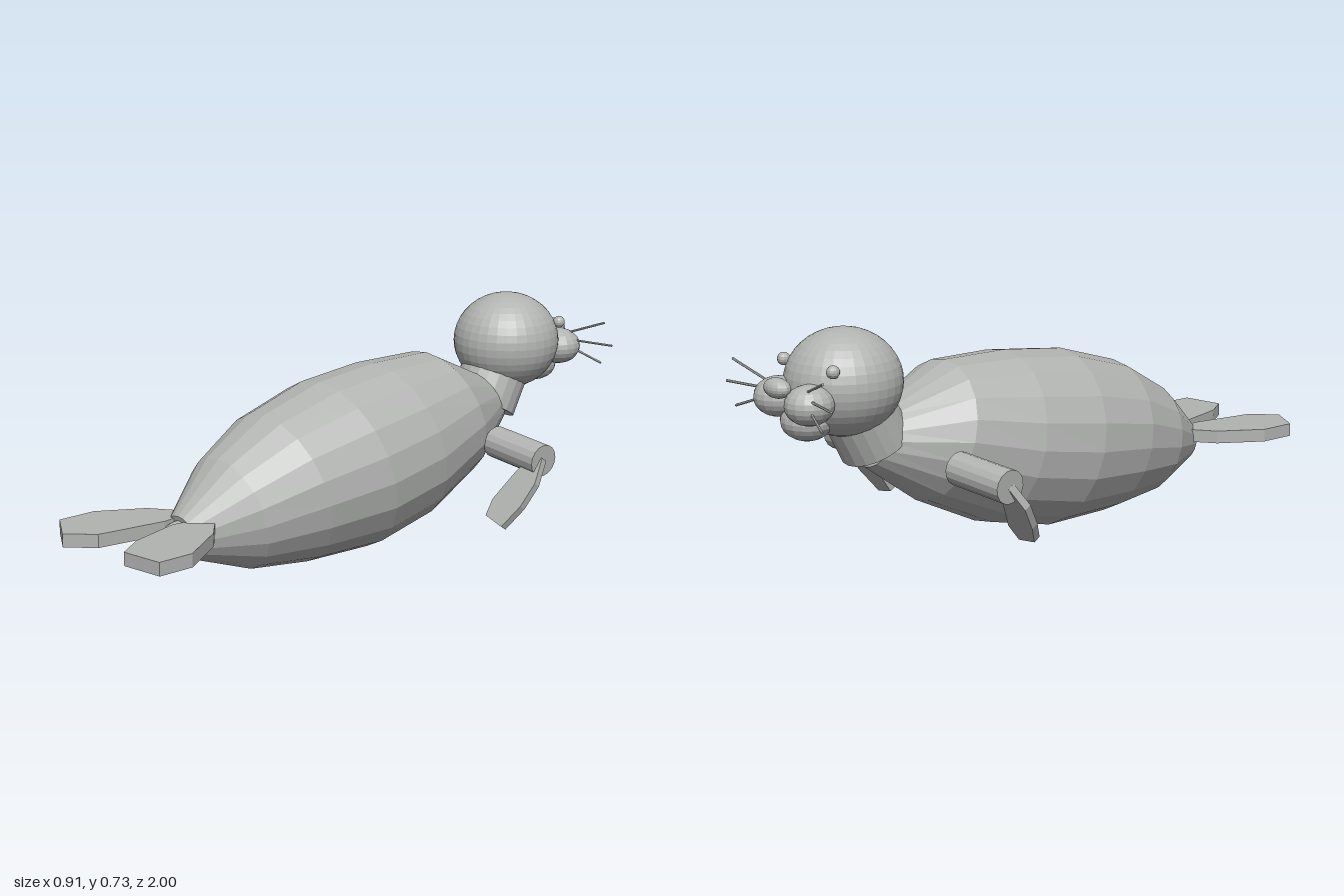
import * as THREE from 'three';

const fur = new THREE.MeshStandardMaterial({ color: 0xb2b4b2, flatShading: true });
fur.name = 'grey';

export function createModel() {
  const model = new THREE.Group();
  model.name = 'seal';

  const add = (name, geometry, x = 0, y = 0, z = 0) => {
    const mesh = new THREE.Mesh(geometry, fur);
    mesh.name = name;
    mesh.position.set(x, y, z);
    model.add(mesh);
    return mesh;
  };
  const ball = (name, x, y, z, rx, ry, rz, w = 16, h = 12) =>
    add(name, new THREE.SphereGeometry(1, w, h).scale(rx, ry, rz), x, y, z);
  const rod = (name, from, to, radius, sides) => {
    const a = new THREE.Vector3(...from), b = new THREE.Vector3(...to);
    const mesh = add(name, new THREE.CylinderGeometry(radius, radius, a.distanceTo(b), sides));
    mesh.position.copy(a).lerp(b, 0.5);
    mesh.quaternion.setFromUnitVectors(new THREE.Vector3(0, 1, 0), b.sub(a).normalize());
    return mesh;
  };
  const plate = (points, depth) => {
    const shape = new THREE.Shape(points.map(([x, y]) => new THREE.Vector2(x, y)));
    return new THREE.ExtrudeGeometry(shape, { depth, bevelEnabled: false });
  };

  // Body: tilted rings from tail to neck, as [z, y, radius, tilt]
  const rings = [
    [0.65, 0.17, 0.071, 0.21], [0.47, 0.207, 0.185, 0.21], [0.275, 0.248, 0.25, 0.22],
    [0.04, 0.28, 0.286, 0.22], [-0.19, 0.318, 0.273, 0.23], [-0.42, 0.372, 0.22, 0.28],
    [-0.632, 0.385, 0.096, 0.41],
  ];
  const body = new THREE.CylinderGeometry(1, 1, 1, 20, rings.length - 1);
  const pos = body.attributes.position;
  for (let i = 0; i < pos.count; i++) {
    const k = Math.round((0.5 - pos.getY(i)) * (rings.length - 1));
    const [z, y, r, tilt] = rings[k];
    const up = -pos.getZ(i) * r;
    pos.setXYZ(i, pos.getX(i) * r, y + up * Math.cos(tilt), z + up * Math.sin(tilt));
  }
  body.computeVertexNormals();
  add('body', body);

  // Neck and head
  rod('neck', [0, 0.362, -0.626], [0, 0.54, -0.72], 0.113, 20);
  ball('head', 0, 0.568, -0.737, 0.176, 0.162, 0.178, 32, 20);
  ball('chin', 0, 0.47, -0.87, 0.085, 0.06, 0.075);
  ball('nose', 0, 0.58, -0.967, 0.053, 0.03, 0.033);

  // Face and arms, mirrored
  for (const s of [1, -1]) {
    const side = s > 0 ? 'left' : 'right';
    ball(side + 'Cheek', s * 0.08, 0.535, -0.912, 0.074, 0.06, 0.074);
    ball(side + 'Eye', s * 0.127, 0.632, -0.86, 0.02, 0.02, 0.02, 12, 8);
    [[0.235, 0.63], [0.272, 0.557], [0.225, 0.49]].forEach(([x, y], i) =>
      rod(side + 'Whisker' + (i + 1), [s * 0.09, 0.557 + (y - 0.557) * 0.25, -0.93],
        [s * x, y, -0.968], 0.004, 6));
    rod(side + 'Arm', [s * 0.212, 0.302, -0.477], [s * 0.436, 0.288, -0.463], 0.052, 16);
  }

  // Front flippers: slanted plates hanging from the arms
  const slant = 0.597;
  const frontFlippers = {
    leftFlipper: [[0.44, 0.293], [0.456, 0.222], [0.44, 0.152], [0.402, 0.085],
      [0.321, 0.102], [0.319, 0.15], [0.363, 0.242], [0.395, 0.29]],
    rightFlipper: [[-0.436, 0.29], [-0.456, 0.222], [-0.43, 0.15], [-0.395, 0.095],
      [-0.313, 0.083], [-0.302, 0.13], [-0.363, 0.242], [-0.395, 0.29]],
  };
  for (const [name, outline] of Object.entries(frontFlippers)) {
    const flat = outline.map(([x, y]) => [x, (y - 0.29) / Math.cos(slant)]);
    const geometry = plate(flat, 0.024).translate(0, 0, -0.012);
    add(name, geometry, 0, 0.29, -0.46).rotation.x = -slant;
  }

  // Tail flippers: flat plates, slightly uneven, outlined in x and z
  const tailFlippers = {
    leftTailFlipper: [[0.03, 0.62], [0.095, 0.6], [0.165, 0.66], [0.27, 0.82],
      [0.27, 0.937], [0.13, 0.958], [0.07, 0.87], [0.02, 0.7]],
    rightTailFlipper: [[-0.03, 0.62], [-0.09, 0.61], [-0.16, 0.66], [-0.243, 0.8],
      [-0.243, 0.925], [-0.125, 0.995], [-0.05, 0.92], [-0.02, 0.7]],
  };
  for (const [name, outline] of Object.entries(tailFlippers)) {
    add(name, plate(outline, 0.042), 0, 0.227, 0).rotation.x = Math.PI / 2;
  }
  ball('tail', 0, 0.188, 0.66, 0.035, 0.037, 0.062);

  return model;
}
